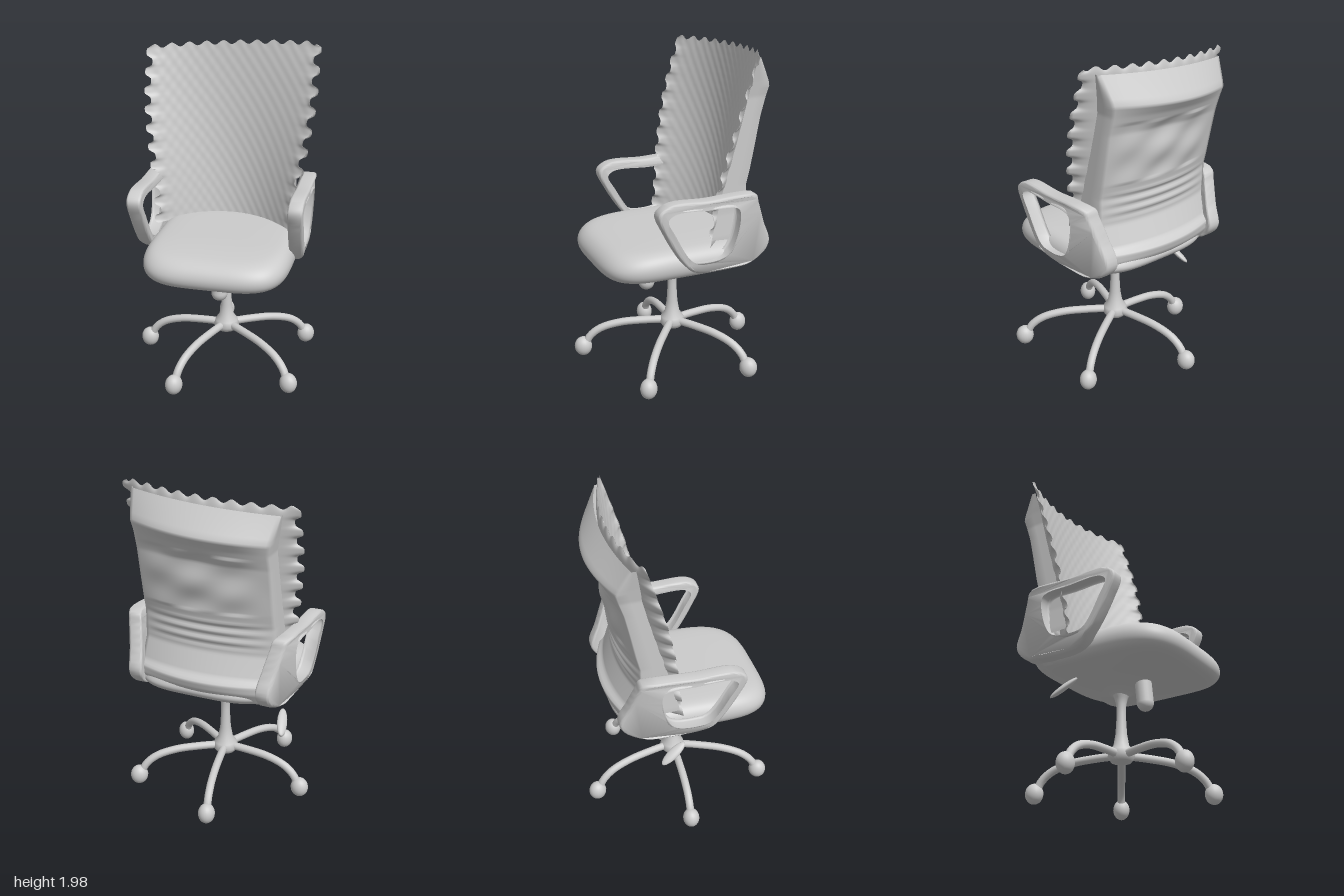
import * as THREE from 'three';
import { mergeVertices, toCreasedNormals } from 'three/addons/utils/BufferGeometryUtils.js';

const CX = 0.035; // the seat and column sit slightly left of centre
const lerp = THREE.MathUtils.lerp;
const smooth = THREE.MathUtils.smoothstep;
const V = (x, y, z) => new THREE.Vector3(x, y, z);

// Surface from a rule: fn(u, v) -> [x, y, z], u and v in 0..1
function surface(nu, nv, fn) {
  const pos = [], idx = [];
  for (let j = 0; j <= nv; j++)
    for (let i = 0; i <= nu; i++) pos.push(...fn(i / nu, j / nv));
  for (let j = 0; j < nv; j++)
    for (let i = 0; i < nu; i++) {
      const a = j * (nu + 1) + i, b = a + nu + 1;
      idx.push(a, a + 1, b, b, a + 1, b + 1);
    }
  let g = new THREE.BufferGeometry();
  g.setAttribute('position', new THREE.Float32BufferAttribute(pos, 3));
  g.setIndex(idx);
  g = mergeVertices(g, 1e-5);
  g.computeVertexNormals();
  return g;
}

// Linear lookup in rows sorted by their first entry
function sample(rows, t) {
  let i = 0;
  while (i < rows.length - 2 && t > rows[i + 1][0]) i++;
  const a = rows[i], b = rows[i + 1];
  const k = THREE.MathUtils.clamp((t - a[0]) / (b[0] - a[0]), 0, 1);
  return a.map((v, n) => lerp(v, b[n], k));
}

// Curved backrest: depth and half width at height y; the side edges bow forward
const backZ = (u, y) => {
  const k = (y - 0.88) / 1.08;
  const bow = 0.04 * Math.sin(Math.PI * THREE.MathUtils.clamp(k, 0, 1));
  return lerp(-0.30, -0.395, k) + (lerp(0.235, 0.095, k) + bow) * u * u;
};
const backHalf = y => lerp(0.42, 0.515, smooth(y, 0.85, 1.75));

// Woven sheet with scalloped sides and top
function backMesh() {
  return surface(200, 140, (s, v) => {
    const rear = s > 0.5;
    const u = rear ? 3 - 4 * s : 4 * s - 1;
    const tooth = Math.tanh(2 * Math.sin(v * 60)), topTooth = Math.sin(u * 31);
    const y = 0.86 + v * (1.095 + 0.032 * u) + Math.pow(v, 30) * 0.013 * topTooth;
    const x = u * backHalf(y) + Math.sign(u) * Math.pow(Math.abs(u), 18) * 0.022 * tooth;
    const thick = 0.022 * (1 - Math.pow(u, 10)) * (1 - Math.pow(v, 30));
    const weave = 0.0015 * Math.sin(u * 50) * Math.cos(v * 75);
    return [x, y, backZ(u, y) + (rear ? -thick : weave)];
  });
}

// Rear shell rows: height, half width, depth at centre, depth at edge
const SHELL = [
  [0.73, 0.36, -0.32, -0.27], [0.77, 0.40, -0.40, -0.34], [0.84, 0.42, -0.45, -0.37],
  [0.89, 0.42, -0.465, -0.37], [0.92, 0.42, -0.42, -0.34], [1.05, 0.41, -0.365, -0.30],
  [1.22, 0.41, -0.375, -0.30], [1.3, 0.41, -0.395, -0.32], [1.5, 0.41, -0.42, -0.36],
  [1.6, 0.41, -0.43, -0.38], [1.70, 0.41, -0.48, -0.41], [1.76, 0.42, -0.525, -0.425],
  [1.79, 0.425, -0.51, -0.415], [1.92, 0.45, -0.42, -0.35],
];
function backShell() {
  return surface(44, 110, (s, v) => {
    const [y, half, zc, ze] = sample(SHELL, lerp(0.73, 1.92, v));
    const u = THREE.MathUtils.clamp((s - 0.5) * 2.2, -1, 1);
    const x = u * half;
    let z = lerp(zc, ze, u * u);
    if (y > 1.08 && y < 1.25) z += 0.007 * Math.sin((y - 1.08) * 110) * (1 - u * u); // lumbar ribs
    if (y > 1.3 && y < 1.66) // loose cover folds
      z += 0.012 * Math.sin((y - 1.3) * 26 + u * 3) * Math.sin(u * 5 + 1) * (1 - u * u);
    // side wall running forward to the mesh
    const wall = Math.max(0, Math.abs(s - 0.5) * 2.2 - 1) / 0.1;
    const front = y < 0.9 ? z + 0.12 : backZ(x / backHalf(y), y) - 0.012;
    return [x, y + 0.032 * u * smooth(y, 1.3, 1.92), lerp(z, front, wall)];
  });
}

// Seat profile from the top centre to the hub: scale, height
const SEAT = new THREE.SplineCurve([
  [0, 0.885], [0.4, 0.885], [0.7, 0.882], [0.87, 0.872], [0.96, 0.842], [1, 0.795], [0.98, 0.745],
  [0.9, 0.712], [0.7, 0.692], [0.4, 0.668], [0.2, 0.64], [0.09, 0.61], [0.06, 0.57],
].map(p => new THREE.Vector2(...p)));
function seat() {
  return surface(72, 60, (s, v) => {
    const { x: k, y } = SEAT.getPoint(v);
    const a = s === 1 ? 0 : s * Math.PI * 2, c = Math.cos(a), d = Math.sin(a);
    const n = lerp(1, 0.5, smooth(k, 0.2, 0.8));
    const x = CX + k * 0.44 * Math.sign(c) * Math.pow(Math.abs(c), n);
    const z = k * k * 0.05 + k * 0.485 * Math.sign(d) * Math.pow(Math.abs(d), n);
    const drop = 0.022 * Math.pow(Math.max(0, z - 0.15) / 0.38, 2);
    const lift = 0.05 * smooth(-z, 0.1, 0.42) * (1 - smooth(y, 0.7, 0.85)); // underside rises behind
    return [x, y - drop + lift, z];
  });
}

// Armrest loop, drawn in (z, y)
const ARM_OUT = [[-0.31, 1.185], [0, 1.19], [0.23, 1.19], [0.295, 1.14], [0.25, 1.02], [0.12, 0.81],
  [0.04, 0.75], [-0.2, 0.74], [-0.36, 0.77], [-0.435, 0.86], [-0.385, 1.0], [-0.335, 1.13]];
const ARM_HOLE = [[0.21, 1.152], [0.255, 1.11], [0.21, 1.01], [0.1, 0.835], [0.02, 0.81],
  [-0.14, 0.84], [-0.21, 1.0], [-0.2, 1.13], [0, 1.152]];
const loop = pts => new THREE.CatmullRomCurve3(pts.map(p => V(p[0], p[1], 0)), true, 'centripetal')
  .getPoints(70).slice(0, -1).map(p => new THREE.Vector2(p.x, p.y));

function armrest(side) {
  const shape = new THREE.Shape(loop(ARM_OUT));
  shape.holes.push(new THREE.Path(loop(ARM_HOLE)));
  const g = new THREE.ExtrudeGeometry(shape, {
    depth: 0.056, bevelSize: 0.015, bevelThickness: 0.016, bevelOffset: -0.013, bevelSegments: 4,
  });
  g.translate(0, 0, -0.028);
  g.rotateY(-Math.PI / 2);
  // lean in towards the seat below and towards the shell behind; the right one sits a little lower
  const p = g.attributes.position;
  for (let i = 0; i < p.count; i++) {
    const y = p.getY(i), z = p.getZ(i);
    const mid = 0.48 - 0.012 * (1.19 - y) / 0.4 - 0.06 * (1 - smooth(y, 0.69, 0.82))
      - 0.065 * smooth(-z, 0.24, 0.44);
    p.setX(i, p.getX(i) + 0.018 + side * mid);
    if (side < 0) p.setY(i, y - 0.02 * smooth(y, 0.75, 1.15));
  }
  return toCreasedNormals(g, 0.8);
}

const CASTERS = [[-0.165, 0.525], [0.495, 0.35], [0.5, -0.3], [-0.085, -0.53], [-0.48, -0.02]];

export function createModel() {
  const model = new THREE.Group();
  const material = new THREE.MeshStandardMaterial({ color: 0xcccccc, side: THREE.DoubleSide });
  const add = (name, geometry, parent = model) => {
    const m = new THREE.Mesh(geometry, material);
    m.name = name;
    parent.add(m);
    return m;
  };

  add('seat', seat());
  add('backrestMesh', backMesh());
  add('backrestShell', backShell());
  add('leftArmrest', armrest(1));
  add('rightArmrest', armrest(-1));

  // Column flaring into the hub
  const profile = [[0, 0.205], [0.06, 0.21], [0.08, 0.24], [0.07, 0.275], [0.046, 0.31], [0.034, 0.38],
    [0.027, 0.5], [0.03, 0.56], [0.04, 0.6], [0.06, 0.64]];
  add('column', new THREE.LatheGeometry(profile.map(p => new THREE.Vector2(...p)), 24))
    .position.x = CX;

  // Knob under the seat front and loose lever at the right
  const knob = add('tiltKnob', new THREE.CapsuleGeometry(0.05, 0.13, 8, 20));
  knob.position.set(CX - 0.005, 0.6, 0.163);
  knob.rotation.x = -0.1;
  const lever = add('heightLever', new THREE.SphereGeometry(1, 20, 14));
  lever.scale.set(0.032, 0.018, 0.095);
  lever.position.set(-0.39, 0.55, -0.11);
  lever.rotation.set(-0.6, 0.25, 0.6);

  // Five arched legs with casters
  const base = new THREE.Group();
  base.name = 'base';
  model.add(base);
  for (const [x, z] of CASTERS) {
    const at = (k, y) => V(lerp(CX, x, k), y, z * k);
    const path = new THREE.CatmullRomCurve3(
      [at(0, 0.25), at(0.3, 0.248), at(0.58, 0.235), at(0.8, 0.198), at(0.92, 0.145), at(0.98, 0.08)]);
    add('leg', new THREE.TubeGeometry(path, 28, 0.024, 12), base);
    const caster = add('caster', new THREE.SphereGeometry(0.055, 20, 16), base);
    caster.position.set(x, 0.075, z);
    caster.scale.set(0.92, 1.12, 1);
    caster.rotation.y = Math.atan2(x - CX, z);
  }
  return model;
}
